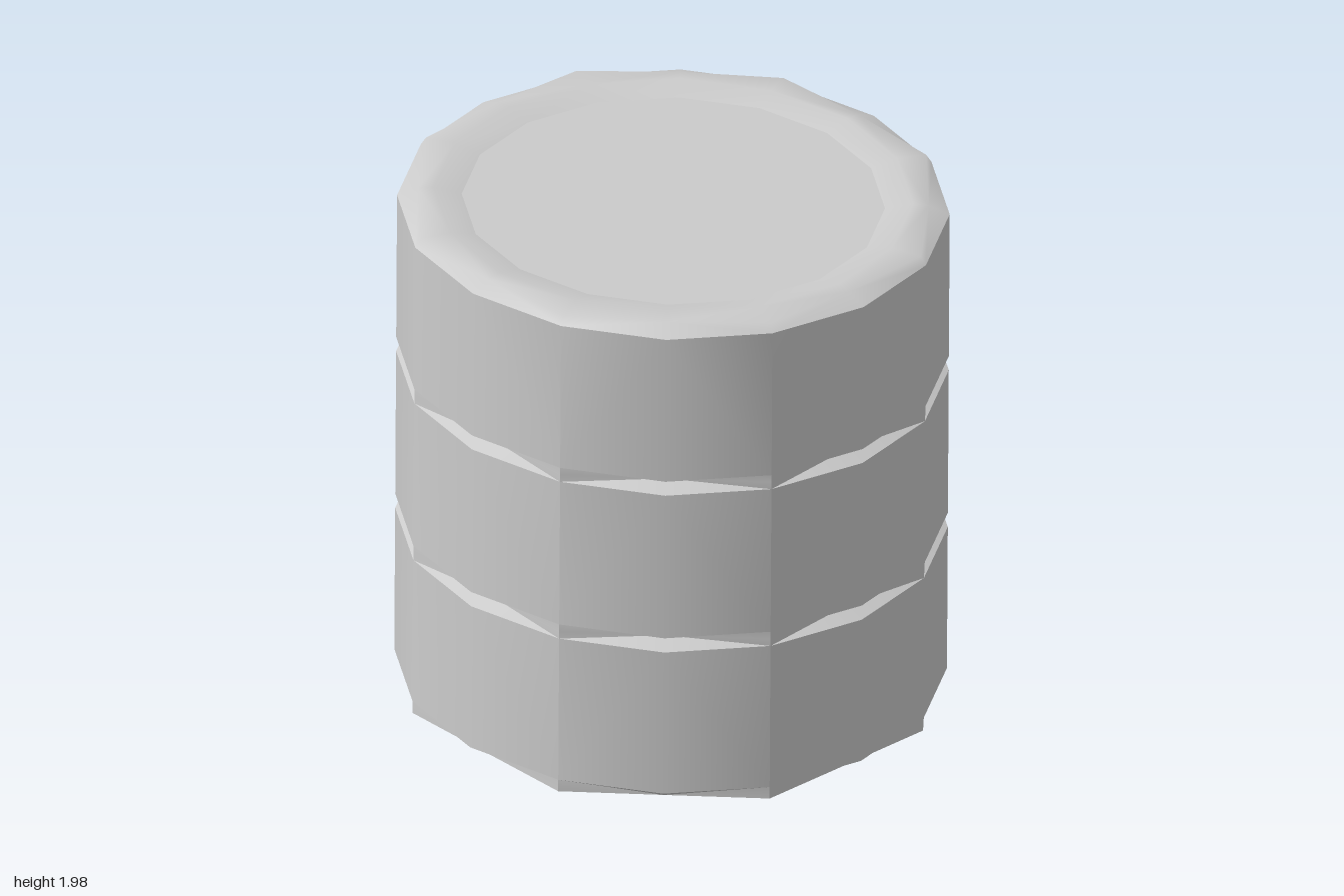
import * as THREE from 'three';
import { toCreasedNormals } from 'three/addons/utils/BufferGeometryUtils.js';

const SIDES = 16;
const OUT = 0.992; // full 16-sided radius
const IN = 0.917; // every second corner pulled in, giving an eight-sided neck

// The whole barrel leans a little: rings slope down to +x, axis drifts to -z
const lean = new THREE.Matrix4().set(
  1, 0.005, 0, -0.005,
  -0.025, 1, 0, 0,
  0, -0.012, 1, 0.012,
  0, 0, 0, 1
);

// Skin a stack of rings, each given as [height, even radius, odd radius]
function loft(rows) {
  const positions = [];
  const index = [];
  for (const [y, even, odd] of rows) {
    for (let k = 0; k < SIDES; k++) {
      const a = (k / SIDES) * Math.PI * 2;
      const r = k % 2 ? odd : even;
      positions.push(r * Math.sin(a), y, r * Math.cos(a));
    }
  }
  for (let j = 0; j < rows.length - 1; j++) {
    const lowerIsFull = rows[j][1] === rows[j][2];
    for (let k = 0; k < SIDES; k++) {
      const n = (k + 1) % SIDES;
      const a = j * SIDES + k, b = j * SIDES + n;
      const c = b + SIDES, d = a + SIDES;
      // the diagonal runs from a full corner to a pulled-in one
      if ((k % 2 === 1) === lowerIsFull) index.push(a, b, c, a, c, d);
      else index.push(a, b, d, b, c, d);
    }
  }
  const geometry = new THREE.BufferGeometry();
  geometry.setAttribute('position', new THREE.Float32BufferAttribute(positions, 3));
  geometry.setIndex(index);
  geometry.applyMatrix4(lean);
  geometry.computeVertexNormals();
  return geometry;
}

export function createModel() {
  const group = new THREE.Group();
  const grey = new THREE.MeshStandardMaterial({ color: 0xcccccc, side: THREE.DoubleSide });
  grey.name = 'plain grey';

  const add = (name, geometry) => {
    const mesh = new THREE.Mesh(geometry, grey);
    mesh.name = name;
    group.add(mesh);
  };

  // Open-bottomed wall: three bands parted by pinched grooves
  const wall = loft([
    [0.028, IN, OUT],
    [0.075, OUT, OUT],
    [0.652, OUT, OUT],
    [0.681, IN, OUT],
    [0.71, OUT, OUT],
    [1.293, OUT, OUT],
    [1.322, IN, OUT],
    [1.35, OUT, OUT],
    [1.93, OUT, OUT],
  ]);
  add('barrelWall', toCreasedNormals(wall, Math.PI / 6));

  // Soft rounded rim around the lid
  add('topRim', loft([
    [1.93, OUT, OUT],
    [1.962, IN, OUT - 0.02],
    [1.968, 0.86, 0.86],
    [1.945, 0.76, 0.76],
  ]));

  // Slightly sunken lid
  const lid = new THREE.CircleGeometry(0.76, SIDES);
  lid.rotateX(-Math.PI / 2);
  lid.translate(0, 1.945, 0);
  lid.applyMatrix4(lean);
  add('lid', lid);

  return group;
}
